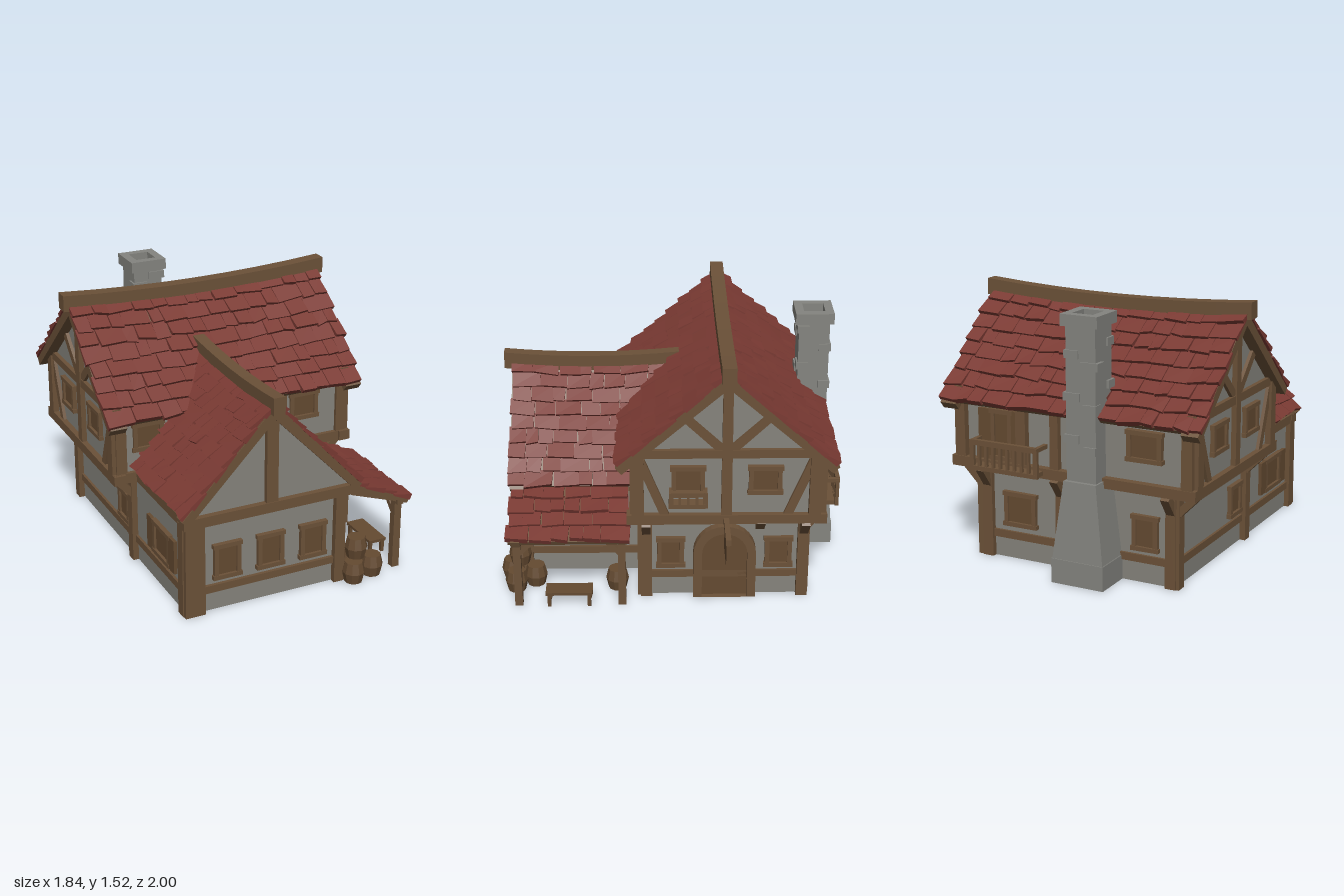
import * as THREE from 'three';
import { mergeGeometries } from 'three/addons/utils/BufferGeometryUtils.js';

const mat = (name, color) => Object.assign(new THREE.MeshStandardMaterial({ color, flatShading: true }), { name });

export function createModel() {
  const house = new THREE.Group();
  house.name = 'cottage';
  const wood = mat('timber', 0x6b5138), plank = mat('planks', 0x644a31), wall = mat('plaster', 0x85837c),
    stone = mat('stone', 0x84847f), tile = mat('roofTile', 0x7a3a33), dark = mat('soot', 0x4a4a47);
  let seed = 7;
  const rnd = () => (seed = (seed * 16807) % 2147483647) / 2147483647;
  const jit = a => (rnd() - 0.5) * 2 * a;

  const add = (parent, name, geo, m, x = 0, y = 0, z = 0) => {
    const mesh = new THREE.Mesh(geo, m);
    mesh.name = name;
    mesh.position.set(x, y, z);
    parent.add(mesh);
    return mesh;
  };
  // move every vertex of a geometry by a rule
  const warp = (geo, rule) => {
    const p = geo.attributes.position, v = new THREE.Vector3();
    for (let i = 0; i < p.count; i++) { rule(v.fromBufferAttribute(p, i)); p.setXYZ(i, v.x, v.y, v.z); }
    geo.computeVertexNormals();
    return geo;
  };
  const box = (parent, name, m, x0, x1, y0, y1, z0, z1) => add(parent, name,
    new THREE.BoxGeometry(x1 - x0, y1 - y0, z1 - z0), m, (x0 + x1) / 2, (y0 + y1) / 2, (z0 + z1) / 2);
  // wall frame: local x along the wall, y up, z outward
  const face = (name, x, z, turn) => {
    const g = new THREE.Group();
    g.name = name;
    g.position.set(x, 0, z);
    g.rotation.y = turn * Math.PI / 2;
    house.add(g);
    return g;
  };
  // timber from one point of the wall to another, slightly tapered
  const bar = (f, x0, y0, x1, y1, w = 0.06, d = 0.05, z = 0, name = 'timber') => {
    const k = 0.88 + rnd() * 0.12;
    const geo = warp(new THREE.BoxGeometry(Math.hypot(x1 - x0, y1 - y0), w, d), v => { if (v.x > 0) v.y *= k; });
    const b = add(f, name, geo, wood, (x0 + x1) / 2, (y0 + y1) / 2, z);
    b.rotation.z = Math.atan2(y1 - y0, x1 - x0);
  };
  const panes = (f, x, y, w, h, shutters = false) => {
    box(f, 'windowPanel', plank, x - w / 2, x + w / 2, y - h / 2, y + h / 2, 0, 0.012);
    for (const s of [-1, 1]) {
      bar(f, x + s * (w / 2 - 0.01), y - h / 2, x + s * (w / 2 - 0.01), y + h / 2, 0.026, 0.05, 0, 'windowFrame');
      bar(f, x - w / 2 - 0.01, y + s * (h / 2 - 0.01), x + w / 2 + 0.01, y + s * (h / 2 - 0.01), 0.026, 0.056, 0, 'windowFrame');
      if (shutters) box(f, 'shutter', plank, x + s * (w / 2 + 0.04) - 0.04, x + s * (w / 2 + 0.04) + 0.04, y - h / 2, y + h / 2, 0.005, 0.025);
    }
  };
  const profile = (f, name, pts, depth, m, z = 0) => add(f, name, new THREE.ExtrudeGeometry(
    new THREE.Shape(pts.map(p => new THREE.Vector2(...p))), { depth, bevelEnabled: false }), m, 0, 0, z);
  const railing = (f, x0, x1, y0, y1, d) => {
    box(f, 'balconyFloor', wood, x0, x1, y0, y0 + 0.025, 0, d);
    bar(f, x0, y1, x1, y1, 0.03, 0.025, d - 0.012, 'handrail');
    for (const x of [x0, x1]) box(f, 'sideRail', wood, x - 0.012, x + 0.012, y1 - 0.012, y1 + 0.012, 0, d);
    const n = Math.round((x1 - x0) / 0.045);
    for (let i = 0; i <= n; i++) {
      const x = x0 + (x1 - x0) * i / n;
      bar(f, x, y0, x, y1, i % n ? 0.016 : 0.028, 0.02, d - 0.012, 'baluster');
    }
  };
  // diagonal bracket standing out from a wall
  const bracket = (f, x, y0, y1, out) => {
    const g = new THREE.Group();
    g.position.x = x;
    g.rotation.y = -Math.PI / 2;
    f.add(g);
    bar(g, 0, y0, out, y1, 0.045, 0.05, 0, 'bracket');
  };
  // tiled slope: ridge along local x, falling towards local z
  const slope = (name, cx, cz, turn, { x0, x1, y0, y1, run, rows, sag = 0 }) => {
    const f = face(name, cx, cz, turn), L = Math.hypot(run, y1 - y0);
    const place = (v, u, s, h) => {
      const t = 2 * (u - x0) / (x1 - x0) - 1;
      v.set(u, y0 + (y1 - y0) * s - sag * (1 - t * t) * (1 - s) + h * run / L, s * run + h * (y0 - y1) / L);
    };
    const tiles = [];
    for (let r = 0; r < rows; r++) {
      let x = x0 + jit(0.012);
      const end = x1 + jit(0.012);
      while (x < end - 0.03) {
        let b = x + 0.07 + rnd() * 0.1;
        if (b > end - 0.05) b = end;
        const a = x, dl = jit(0.12), dr = jit(0.12), lift = 0.022 + rnd() * 0.014, skew = jit(0.008);
        tiles.push(warp(new THREE.BoxGeometry(1, 1, 1), v => place(v,
          (v.x < 0 ? a + 0.002 : b - 0.002) + (v.z > 0 ? skew : 0),
          v.z < 0 ? Math.max(0, (r - 0.2) / rows) : (r + 1 + (v.x < 0 ? dl : dr)) / rows,
          v.y < 0 ? -0.004 : v.z < 0 ? 0.006 : lift)));
        x = b;
      }
    }
    add(f, 'roofTiles', mergeGeometries(tiles), tile);
    add(f, 'roofBoards', warp(new THREE.BoxGeometry(1, 1, 1, 8, 1, 1), v =>
      place(v, x0 + 0.01 + (v.x + 0.5) * (x1 - x0 - 0.02), (v.z + 0.5) * 0.99, v.y < 0 ? -0.028 : -0.001)), wood);
  };
  const ridge = (f, x0, x1, y, w, h, sag) => add(f, 'ridgeBeam', warp(new THREE.BoxGeometry(x1 - x0, h, w, 8, 1, 1),
    v => { v.y -= sag * (1 - (2 * v.x / (x1 - x0)) ** 2); }), wood, (x0 + x1) / 2, y - h / 2, 0);

  // walls
  box(house, 'groundFloor', wall, -0.68, 0.53, 0, 0.57, -0.77, 0.16);
  profile(face('upperFloor', -0.81, -0.31, 1), 'upperWalls',
    [[-0.52, 0.55], [0.52, 0.55], [0.52, 0.95], [0, 1.41], [-0.52, 0.95]], 1.45, wall);
  profile(face('wing', -0.18, 0, 0), 'wingWalls',
    [[-0.5, 0], [0.43, 0], [0.43, 0.57], [0.5, 0.59], [0, 1.12], [-0.5, 0.59]], 0.87, wall);

  // main gable ends
  for (const s of [1, -1]) {
    const f = face('gableEnd', s > 0 ? 0.64 : -0.81, -0.31, s);
    bar(f, -0.56, 0.57, 0.56, 0.57, 0.06, 0.07);
    bar(f, -0.54, 0.975, 0.54, 0.975, 0.05);
    bar(f, 0, 0.57, 0, 1.44, 0.06, 0.06);
    for (const k of [-1, 1]) {
      bar(f, k * 0.495, 0.56, k * 0.495, 0.97, 0.07, 0.07);
      bar(f, k * 0.48, 0.93, k * 0.34, 0.58, 0.05, 0.04);
      bar(f, k * 0.02, 0.99, k * 0.25, 1.21, 0.05, 0.04);
      bar(f, 0, 1.425, k * 0.6, 0.895, 0.055, 0.1, 0.02, 'rafter');
      panes(f, k * 0.215, 0.81, 0.18, 0.17);
    }
    const g = face('groundGableWall', s > 0 ? 0.53 : -0.68, -0.31, s);
    bar(g, -0.46, 0.14, 0.46, 0.14, 0.045, 0.03);
    for (const k of [-1, 1]) {
      bar(g, k * 0.45, 0, k * 0.45, 0.56, 0.065, 0.07);
      bracket(g, k * 0.45, 0.41, 0.54, 0.13);
      if (s > 0 || k > 0) panes(g, k * 0.31, 0.285, 0.15, 0.19);
    }
    if (s > 0) {
      // arched door
      const arch = (w, h) => {
        const p = new THREE.Shape();
        p.moveTo(-w, 0).lineTo(w, 0).lineTo(w, h - w).absarc(0, h - w, w, 0, Math.PI).lineTo(-w, 0);
        return p;
      };
      const frame = arch(0.18, 0.47);
      frame.holes.push(arch(0.13, 0.42));
      add(g, 'doorFrame', new THREE.ExtrudeGeometry(frame, { depth: 0.05, bevelEnabled: false, curveSegments: 7 }), wood);
      add(g, 'door', new THREE.ExtrudeGeometry(arch(0.132, 0.422), { depth: 0.015, bevelEnabled: false, curveSegments: 7 }), plank);
      bracket(g, 0.2, 0.45, 0.54, 0.1);
      railing(f, -0.31, -0.12, 0.66, 0.745, 0.07);
    }
  }

  // front and back of the upper floor
  const front = face('upperFront', -0.085, 0.2, 0), back = face('upperBack', -0.085, -0.84, 2);
  for (const f of [front, back]) {
    bar(f, -0.76, 0.57, 0.76, 0.57, 0.06, 0.07);
    bar(f, -0.74, 0.93, 0.74, 0.93, 0.05);
    for (const x of [-0.705, -0.31, 0.31, 0.705]) if (f === front || x !== 0.31) bar(f, x, 0.56, x, 0.95, 0.065, 0.06);
  }
  panes(front, -0.535, 0.805, 0.18, 0.17);
  panes(front, 0.46, 0.805, 0.18, 0.17);
  panes(back, 0.45, 0.8, 0.2, 0.17);
  panes(back, -0.44, 0.75, 0.13, 0.29, true);
  bar(back, -0.1, 0.57, -0.1, 0.95, 0.055);
  railing(back, -0.575, -0.165, 0.56, 0.72, 0.12);
  const groundBack = face('groundBack', -0.085, -0.77, 2);
  bar(groundBack, -0.6, 0.14, 0.6, 0.14, 0.045, 0.03);
  for (const x of [-0.58, -0.1, 0.58]) {
    bar(groundBack, x, 0, x, 0.56, 0.065, 0.06);
    bracket(groundBack, x, 0.42, 0.54, 0.09);
  }
  panes(groundBack, -0.37, 0.3, 0.2, 0.2);
  panes(groundBack, 0.42, 0.29, 0.15, 0.2);
  const porchWall = face('porchBackWall', 0, 0.16, 0);
  bar(porchWall, 0.25, 0.14, 0.53, 0.14, 0.045, 0.03);
  bar(porchWall, 0.515, 0, 0.515, 0.56, 0.06, 0.06);

  // wing front gable
  const wf = face('wingFront', -0.18, 0.87, 0);
  bar(wf, -0.53, 0.57, 0.53, 0.57, 0.06, 0.07);
  bar(wf, -0.42, 0.14, 0.42, 0.14, 0.045, 0.04);
  bar(wf, 0, 0.58, 0, 1.13, 0.07, 0.06);
  bar(wf, -0.465, 0, -0.465, 0.56, 0.12, 0.07);
  bar(wf, 0.43, 0, 0.43, 0.56, 0.065, 0.07);
  for (const k of [-1, 1]) bar(wf, 0, 1.14, k * 0.53, 0.59, 0.055, 0.08, 0.015, 'rafter');
  for (const x of [-0.265, 0, 0.265]) panes(wf, x, 0.3, 0.155, 0.21);
  bar(wf, 0.5, 0.555, 0.87, 0.425, 0.04, 0.05, 0.01, 'porchRafter');

  // wing sides
  const wr = face('wingPorchSide', 0.25, 0, 1), wl = face('wingOuterSide', -0.68, 0, -1);
  for (const [f, s] of [[wr, -1], [wl, 1]]) {
    bar(f, s * 0.14, 0.57, s * 0.88, 0.57, 0.06, 0.05);
    bar(f, s * 0.16, 0.14, s * 0.86, 0.14, 0.045, 0.03);
    bar(f, s * 0.845, 0, s * 0.845, 0.56, 0.065, 0.06);
    panes(f, s * 0.56, 0.3, 0.22, 0.2, true);
  }

  // roofs
  const main = { x0: -0.805, x1: 0.805, y0: 1.47, y1: 0.925, run: 0.6, rows: 8, sag: 0.035 };
  slope('mainRoofFront', -0.085, -0.31, 0, main);
  slope('mainRoofBack', -0.085, -0.31, 2, main);
  ridge(face('mainRidge', -0.085, -0.31, 0), -0.835, 0.835, 1.525, 0.08, 0.095, 0.035);
  const side = { y0: 1.19, y1: 0.615, run: 0.54, rows: 9, sag: 0.025 };
  slope('wingRoofLeft', -0.18, 0, -1, { ...side, x0: -0.02, x1: 0.93 });
  slope('wingRoofRight', -0.18, 0, 1, { ...side, x0: -0.93, x1: 0.02 });
  slope('porchRoof', 0.32, 0, 1, { x0: -0.93, x1: -0.23, y0: 0.605, y1: 0.44, run: 0.37, rows: 4 });
  ridge(face('wingRidge', -0.18, 0, 1), -0.97, 0.06, 1.245, 0.07, 0.1, 0.025);

  // porch posts with braces
  const porch = face('porch', 0.63, 0, 1);
  bar(porch, -0.92, 0.435, -0.24, 0.435, 0.04, 0.04, 0, 'porchBeam');
  for (const [x, s] of [[-0.875, 1], [-0.28, -1]]) {
    bar(porch, x, 0, x, 0.43, 0.045, 0.045, 0, 'porchPost');
    bar(porch, x, 0.33, x + s * 0.09, 0.42, 0.03, 0.035, 0, 'porchBrace');
  }
  // bench
  box(house, 'benchSeat', plank, 0.56, 0.67, 0.075, 0.092, 0.45, 0.72);
  for (const x of [0.575, 0.655]) for (const z of [0.47, 0.7])
    box(house, 'benchLeg', plank, x - 0.01, x + 0.01, 0, 0.08, z - 0.01, z + 0.01);
  // barrels
  for (const [x, y, z] of [[0.33, 0, 0.93], [0.465, 0, 0.9], [0.4, 0, 0.79], [0.37, 0.125, 0.88], [0.45, 0, 0.31]])
    add(house, 'barrel', warp(new THREE.CylinderGeometry(0.052, 0.052, 0.126, 10, 2), v => {
      if (Math.abs(v.y) < 0.01) { v.x *= 1.28; v.z *= 1.28; }
    }), plank, x, y + 0.063, z);
  // hanging board
  box(house, 'signArm', wood, 0.64, 0.92, 0.545, 0.58, -0.325, -0.295);
  box(house, 'signBoard', plank, 0.67, 0.9, 0.39, 0.53, -0.32, -0.3);
  for (const x of [0.72, 0.86]) box(house, 'signHook', wood, x - 0.006, x + 0.006, 0.52, 0.55, -0.316, -0.304);

  // chimney: tapered foot, shaft, loose stones and open cap
  const chimney = face('chimney', -0.2, -0.85, 0);
  box(chimney, 'chimneyBase', stone, -0.16, 0.16, 0, 0.14, -0.15, 0.11);
  add(chimney, 'chimneyShoulder', warp(new THREE.BoxGeometry(0.31, 0.44, 0.25), v => {
    if (v.y > 0) { v.x *= 0.64; v.z *= 0.78; v.z += 0.005; }
  }), stone, 0, 0.36, -0.02);
  box(chimney, 'chimneyShaft', stone, -0.09, 0.09, 0.5, 1.44, -0.09, 0.09);
  for (let i = 0; i < 14; i++) {
    const y = 0.62 + i * 0.058, sx = i % 2 ? 1 : -1, sz = i % 4 < 2 ? 1 : -1;
    const w = 0.07 + rnd() * 0.04;
    box(chimney, 'chimneyStone', stone, sx * 0.055 - w / 2, sx * 0.055 + w / 2, y, y + 0.045, sz * 0.065 - 0.035, sz * 0.065 + 0.035);
  }
  const square = r => [[-r, -r], [r, -r], [r, r], [-r, r]].map(p => new THREE.Vector2(...p));
  const cap = new THREE.Shape(square(0.112));
  cap.holes.push(new THREE.Path(square(0.062)));
  add(chimney, 'chimneyCap', new THREE.ExtrudeGeometry(cap, { depth: 0.065, bevelEnabled: false }), stone, 0, 1.432, 0)
    .rotation.x = -Math.PI / 2;
  box(chimney, 'chimneyFlue', dark, -0.065, 0.065, 1.435, 1.445, -0.065, 0.065);
  return house;
}
